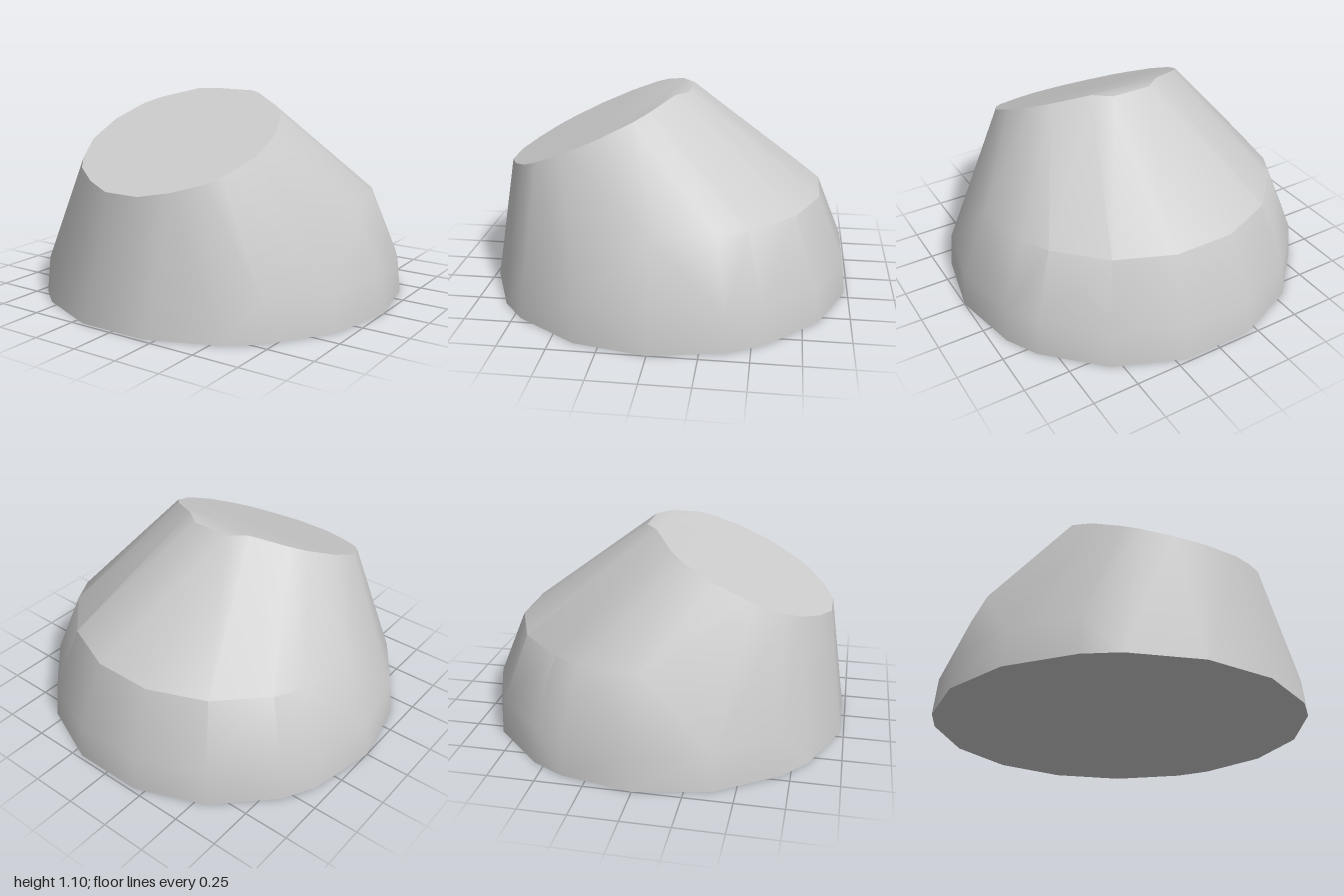
import * as THREE from 'three';
import { ConvexGeometry } from 'three/addons/geometries/ConvexGeometry.js';
import { toCreasedNormals } from 'three/addons/utils/BufferGeometryUtils.js';

export function createModel() {
  const group = new THREE.Group();
  const points = [];
  const addPair = (x, y, z) => {
    points.push(new THREE.Vector3(x, y, z));
    if (x > 0) points.push(new THREE.Vector3(-x, y, z));
  };

  // Dome rings: height, radius and angles from the side (positive toward the front)
  const back = [0, -22.5, -33.75, -56.25, -78.75];
  const rings = [
    [0, 1, [...back, 22.5, 45, 56.25, 78.75]],
    [0.195, 0.98, [...back, 22.5, 45]],
    [0.55, 0.835, back],
  ];
  for (const [y, r, angles] of rings) {
    for (const deg of angles) {
      const a = THREE.MathUtils.degToRad(deg);
      addPair(r * Math.cos(a), y, r * Math.sin(a));
    }
  }

  // Rim of the sloping flat face, lying on one tilted plane
  const rim = [
    [0.2, -0.04], [0.38, 0.07], [0.45, 0.14], [0.52, 0.31], [0.52, 0.5],
    [0.45, 0.66], [0.39, 0.74], [0.25, 0.83], [0.1, 0.89],
  ];
  for (const [x, z] of rim) addPair(x, 1.095 - 0.455 * (z + 0.04), z);

  // Short level ridge behind the rim
  addPair(0.11, 1.095, -0.11);

  const body = new THREE.Mesh(
    toCreasedNormals(new ConvexGeometry(points), 0.5),
    new THREE.MeshStandardMaterial({ color: 0xcccccc })
  );
  body.name = 'cutDome';
  group.add(body);
  return group;
}
